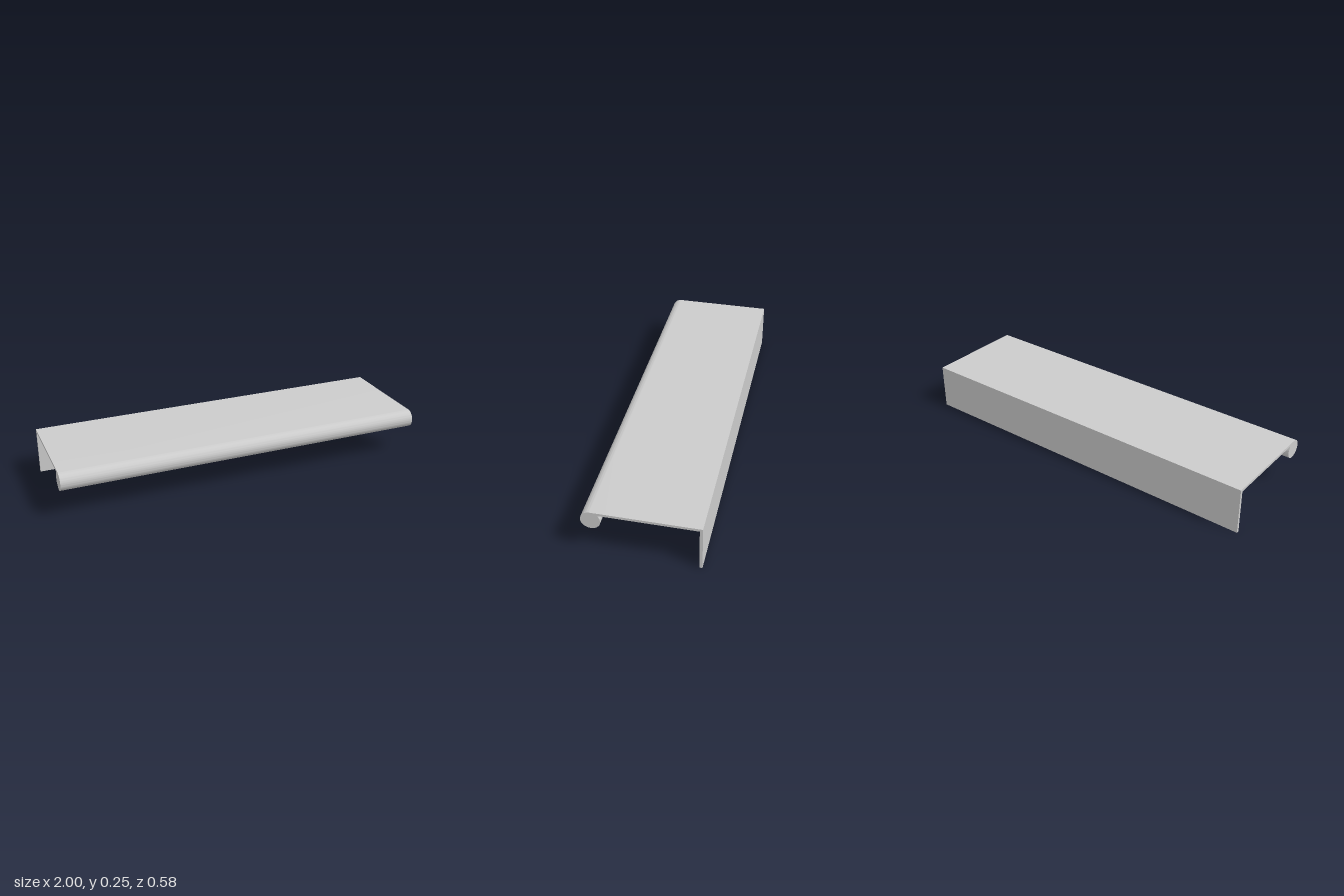
import * as THREE from 'three';
import { toCreasedNormals } from 'three/addons/utils/BufferGeometryUtils.js';

const LENGTH = 2;
const TOP = 0.25, UNDER = 0.236;      // top plate faces
const BACK = 0.292, INNER = 0.277;    // rear flange faces
const NOSE = { u: -0.243, y: 0.201, r: 0.049 };

export function createModel() {
  const group = new THREE.Group();
  group.name = 'nosingStrip';

  // Cross-section: top plate, rear flange and round front bead (u runs toward the back)
  const profile = new THREE.Shape();
  profile.moveTo(NOSE.u, TOP);
  profile.lineTo(BACK, TOP);
  profile.lineTo(BACK, 0);
  profile.lineTo(INNER, 0);
  profile.lineTo(INNER, UNDER);
  profile.lineTo(-0.204, UNDER);
  profile.absarc(NOSE.u, NOSE.y, NOSE.r, 0.4, -1.5 * Math.PI, true);

  // Sweep the section along the width
  let geometry = new THREE.ExtrudeGeometry(profile, {
    depth: LENGTH, bevelEnabled: false, curveSegments: 32,
  });
  geometry.rotateY(Math.PI / 2);
  geometry.translate(-LENGTH / 2, 0, 0);
  geometry = toCreasedNormals(geometry, 0.5);

  const strip = new THREE.Mesh(geometry, new THREE.MeshStandardMaterial({ color: 0xcccccc }));
  strip.name = 'plateWithFlangeAndBead';
  group.add(strip);
  return group;
}
